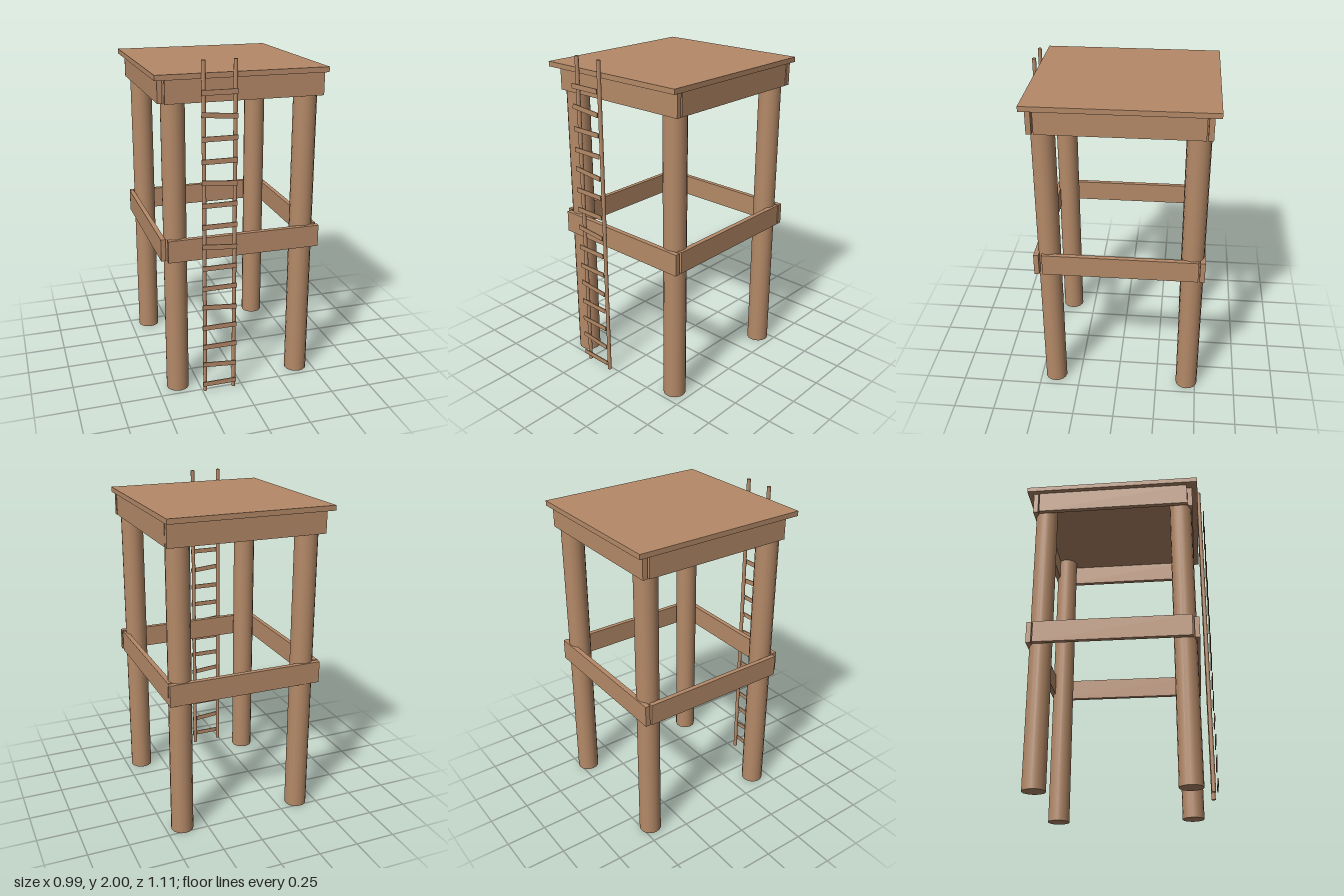
import * as THREE from 'three';

export function createModel() {
  const model = new THREE.Group();
  model.name = 'watchPlatform';
  const wood = new THREE.MeshStandardMaterial({ color: 0xb58a68 });
  wood.name = 'brown wood';

  const add = (name, geometry, x, y, z) => {
    const mesh = new THREE.Mesh(geometry, wood);
    mesh.name = name;
    mesh.position.set(x, y, z);
    model.add(mesh);
    return mesh;
  };
  // Box given by its extents on each axis
  const plank = (name, [x0, x1], [y0, y1], [z0, z1]) =>
    add(name, new THREE.BoxGeometry(x1 - x0, y1 - y0, z1 - z0),
      (x0 + x1) / 2, (y0 + y1) / 2, (z0 + z1) / 2);

  // Four round legs
  const legGeometry = new THREE.CylinderGeometry(0.068, 0.068, 1.9, 16);
  for (const x of [-0.378, 0.398])
    for (const z of [-0.445, 0.406]) add('leg', legGeometry, x, 0.95, z);

  // Deck
  plank('deck', [-0.498, 0.492], [1.9, 1.93], [-0.556, 0.516]);

  // Two rings of braces around the legs, with small gaps at the corners
  const rings = [
    { name: 'lower', y: [0.856, 0.988], front: 0.49 },
    { name: 'upper', y: [1.766, 1.899], front: 0.482 },
  ];
  for (const { name, y, front } of rings) {
    plank(name + 'FrontBrace', [-0.437, 0.481], y, [front - 0.03, front]);
    plank(name + 'BackBrace', [-0.465, 0.481], y, [-0.519, -0.489]);
    plank(name + 'RightBrace', [-0.471, -0.443], y, [-0.481, 0.45]);
    plank(name + 'LeftBrace', [0.451, 0.48], y, [-0.481, 0.442]);
  }

  // Ladder poles
  const poleGeometry = new THREE.CylinderGeometry(0.012, 0.012, 1.99, 12);
  for (const x of [-0.236, -0.057]) add('ladderPole', poleGeometry, x, 1.005, 0.526);

  // Rungs, every third one nailed on crooked
  const rungGeometry = new THREE.BoxGeometry(0.206, 0.029, 0.006);
  for (let i = 0; i < 15; i++) {
    const rung = add('ladderRung', rungGeometry, -0.153, 0.067 + i * 0.126, 0.552);
    if (i % 3 === 1) rung.rotation.z = -0.085;
  }
  return model;
}
